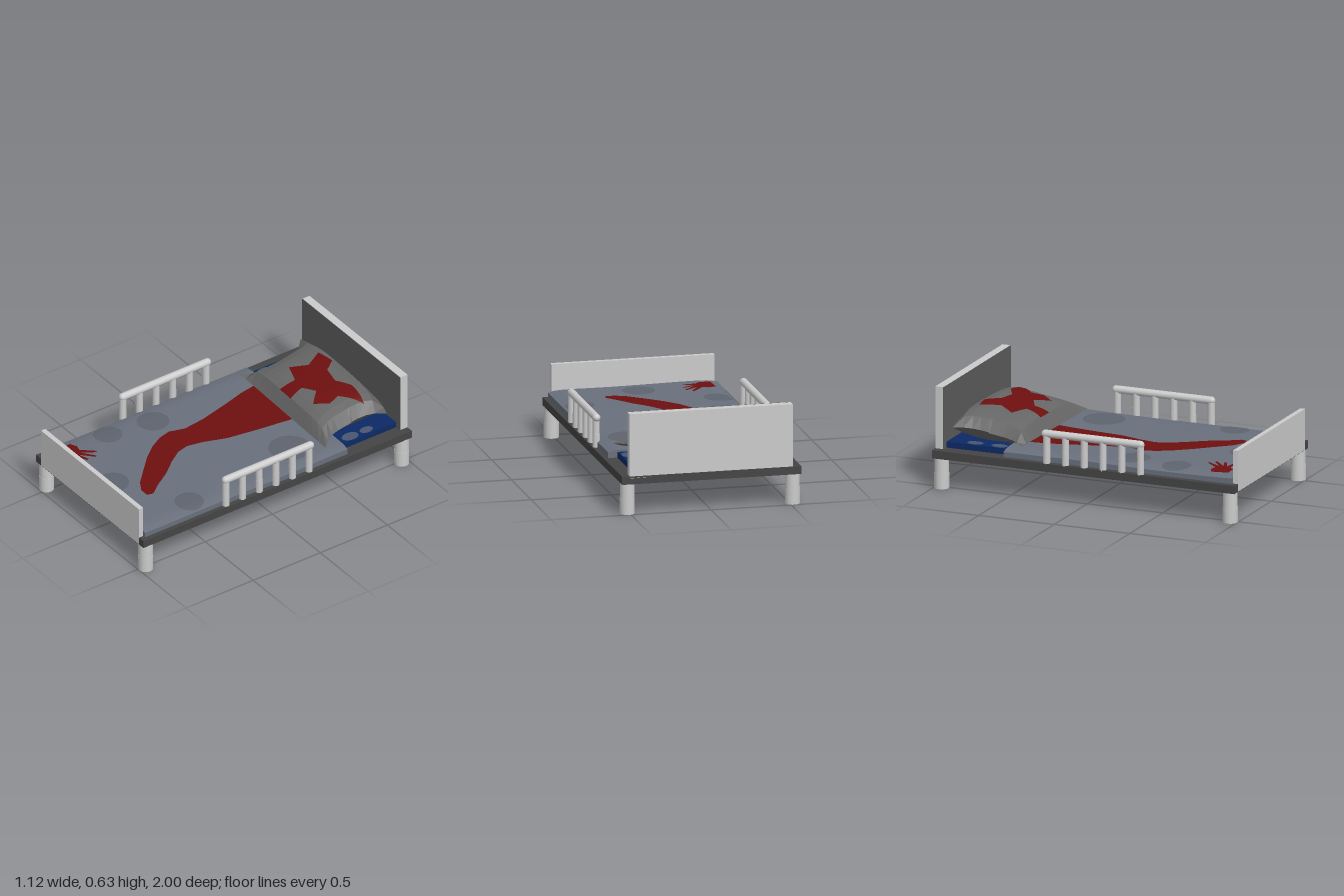
import * as THREE from 'three';

const mat = (color, extra = {}) => new THREE.MeshStandardMaterial({ color, ...extra });
const grey = mat(0xcccccc);
const darkGrey = mat(0x444444);
const red = mat(0x6e0f0f);

function addMesh(parent, name, geometry, material, x = 0, y = 0, z = 0) {
  const mesh = new THREE.Mesh(geometry, material);
  mesh.name = name;
  mesh.position.set(x, y, z);
  parent.add(mesh);
  return mesh;
}

// Box given by its lower and upper corners
function addBox(parent, name, material, [x0, y0, z0], [x1, y1, z1]) {
  return addMesh(parent, name, new THREE.BoxGeometry(x1 - x0, y1 - y0, z1 - z0), material,
    (x0 + x1) / 2, (y0 + y1) / 2, (z0 + z1) / 2);
}

// Round post in two stacked halves
function addPost(parent, name, r, x, y0, y1, z) {
  const h = (y1 - y0) / 2;
  addMesh(parent, name + 'Lower', new THREE.CylinderGeometry(r, r, h, 20), grey, x, y0 + h / 2, z);
  addMesh(parent, name + 'Upper', new THREE.CylinderGeometry(r * 0.97, r * 0.97, h, 20), grey, x, y0 + h * 1.5, z);
}

// Upper surface of the blanket
function blanketTop(x, z, lift = 0) {
  const edge = Math.pow(Math.min(1, Math.abs(x) / 0.53), 14);
  const y = 0.29 + 0.004 * Math.sin(5 * z + 2 * x) * Math.cos(4 * x - z) - 0.016 * edge;
  return new THREE.Vector3(x, y + lift, z);
}

// Pillow surface: u across, v from head (-1) to foot (1), side +1 top or -1 bottom
function pillowPoint(u, v, side, lift = 0) {
  const puff = Math.sqrt((1 - u ** 4) * (1 - v ** 4));
  const x = u * (0.385 + 0.085 * v ** 4);
  const z = -0.685 + 0.015 * u + 0.25 * v + (v < 0 ? 0.045 * u ** 4 : 0);
  const seam = 0.335 - 0.035 * v;
  const y = side > 0 ? seam + 0.1 * puff : Math.max(0.277, seam - 0.1 * puff);
  return new THREE.Vector3(x, y + lift, z);
}

// Lay a flat outline over a curved surface by splitting its triangles
function drape(points, surface, levels = 3) {
  const contour = points.map(([a, b]) => new THREE.Vector2(a, b));
  if (THREE.ShapeUtils.isClockWise(contour)) contour.reverse();
  let tris = THREE.ShapeUtils.triangulateShape(contour, []).map(t => t.map(i => contour[i]));
  const mid = (p, q) => p.clone().lerp(q, 0.5);
  for (let i = 0; i < levels; i++) {
    tris = tris.flatMap(([a, b, c]) => {
      const ab = mid(a, b), bc = mid(b, c), ca = mid(c, a);
      return [[a, ab, ca], [ab, b, bc], [ca, bc, c], [ab, bc, ca]];
    });
  }
  const verts = tris.flatMap(([a, b, c]) => [a, c, b].map(p => surface(p.x, p.y)));
  const g = new THREE.BufferGeometry().setFromPoints(verts);
  g.computeVertexNormals();
  return g;
}

function pillowGeometry(nu = 14, nv = 10) {
  const verts = [];
  for (const side of [1, -1]) {
    for (let i = 0; i < nu; i++) {
      for (let j = 0; j < nv; j++) {
        const p = (a, b) => pillowPoint(2 * a / nu - 1, 2 * b / nv - 1, side);
        const a = p(i, j), b = p(i, j + 1), c = p(i + 1, j + 1), d = p(i + 1, j);
        verts.push(...(side > 0 ? [a, b, c, a, c, d] : [a, c, b, a, d, c]));
      }
    }
  }
  const g = new THREE.BufferGeometry().setFromPoints(verts);
  g.computeVertexNormals();
  return g;
}

function blanketGeometry() {
  const g = new THREE.BoxGeometry(1.06, 0.05, 1.51, 30, 1, 34);
  g.translate(0, 0.265, 0.215);
  const pos = g.attributes.position;
  for (let i = 0; i < pos.count; i++) {
    if (pos.getY(i) > 0.27) pos.setY(i, blanketTop(pos.getX(i), pos.getZ(i)).y);
    else pos.setY(i, 0.242);
  }
  g.computeVertexNormals();
  return g;
}

export function createModel() {
  const bed = new THREE.Group();
  bed.name = 'bed';

  // Frame
  addBox(bed, 'deck', darkGrey, [-0.563, 0.19, -1], [0.557, 0.24, 1]);
  addBox(bed, 'headboard', grey, [-0.51, 0.19, -1], [0.51, 0.63, -0.947]);
  addBox(bed, 'headboardPanel', mat(0x5c5c5c), [-0.51, 0.24, -0.948], [0.51, 0.63, -0.944]);
  addBox(bed, 'footboard', grey, [-0.51, 0.192, 0.969], [0.51, 0.45, 1.0005]);

  // Legs
  for (const x of [-0.518, 0.514])
    for (const z of [-0.954, 0.954]) addPost(bed, 'leg', 0.046, x, 0, 0.192, z);

  // Side rails
  for (const x of [-0.541, 0.533]) {
    const rail = new THREE.Group();
    rail.name = x > 0 ? 'leftRail' : 'rightRail';
    for (let i = 0; i < 6; i++) addPost(rail, 'railPost', 0.0225, x, 0.235, 0.42, 0.37 - i * 0.124);
    const bar = addMesh(rail, 'railBar', new THREE.CapsuleGeometry(0.024, 0.63, 6, 20), grey, x, 0.425, 0.056);
    bar.rotation.x = Math.PI / 2;
    bed.add(rail);
  }

  // Bedding
  addBox(bed, 'mattress', mat(0x0d2a66), [-0.47, 0.24, -0.946], [0.47, 0.277, 0.96]);
  addMesh(bed, 'blanket', blanketGeometry(), mat(0x69707c));
  addMesh(bed, 'pillow', pillowGeometry(), mat(0x666666, { flatShading: true }));

  // Worn patches on the mattress
  for (const [x, z, r] of [[-0.43, -0.77, 0.035], [-0.43, -0.61, 0.035], [0.43, -0.63, 0.038], [0.43, -0.75, 0.03]]) {
    const patch = addMesh(bed, 'mattressPatch', new THREE.CircleGeometry(r, 20), mat(0x4a5670), x, 0.279, z);
    patch.rotation.x = -Math.PI / 2;
    patch.scale.y = 1.5;
  }

  // Faint dark patches on the blanket
  for (const [cx, cz, r] of [[0.33, -0.25, 0.13], [-0.38, 0.26, 0.1], [-0.43, 0.56, 0.09], [0, 0.83, 0.1], [0.43, 0.57, 0.09]]) {
    const ring = Array.from({ length: 20 }, (_, i) => {
      const a = i * Math.PI / 10;
      return [cx + r * Math.cos(a), cz + r * Math.sin(a)];
    });
    addMesh(bed, 'blanketPatch', drape(ring, (x, z) => blanketTop(x, z, 0.002)), mat(0x5e646f));
  }

  // Long stain, as rows of [z, left edge, right edge]
  const rows = [[-0.48, -0.33, 0.1], [-0.35, -0.31, 0.08], [-0.2, -0.27, 0.06], [0, -0.22, 0.03],
    [0.15, -0.2, -0.02], [0.25, -0.23, -0.04], [0.33, -0.21, -0.02], [0.42, -0.16, 0.04],
    [0.52, -0.08, 0.12], [0.62, 0.02, 0.18], [0.7, 0.1, 0.24], [0.74, 0.17, 0.23]];
  const longStain = [...rows.map(([z, a]) => [a, z]), ...rows.map(([z, , b]) => [b, z]).reverse()];
  addMesh(bed, 'blanketStain', drape(longStain, (x, z) => blanketTop(x, z, 0.004)), red);

  // Hand-shaped stain
  const hand = [[-0.48, 0.81], [-0.43, 0.79], [-0.39, 0.8], [-0.32, 0.72], [-0.31, 0.73], [-0.36, 0.81],
    [-0.28, 0.75], [-0.275, 0.765], [-0.35, 0.835], [-0.28, 0.81], [-0.275, 0.825], [-0.355, 0.86],
    [-0.29, 0.87], [-0.29, 0.885], [-0.37, 0.89], [-0.4, 0.92], [-0.47, 0.92]];
  addMesh(bed, 'handStain', drape(hand, (x, z) => blanketTop(x, z, 0.004), 2), red);

  // Pillow stain, placed on the pillow's curved top
  const splash = [[-0.2, -0.84], [-0.08, -0.86], [-0.02, -0.78], [0.1, -0.76], [0.2, -0.82], [0.36, -0.83],
    [0.23, -0.7], [0.25, -0.62], [0.18, -0.54], [0.1, -0.62], [0.01, -0.57], [0.02, -0.48],
    [-0.09, -0.48], [-0.08, -0.58], [-0.21, -0.62], [-0.14, -0.72]]
    .map(([x, z]) => [x / 0.395, (z + 0.685) / 0.25]);
  addMesh(bed, 'pillowStain', drape(splash, (u, v) => pillowPoint(u, v, 1, 0.005), 3), red);

  return bed;
}
